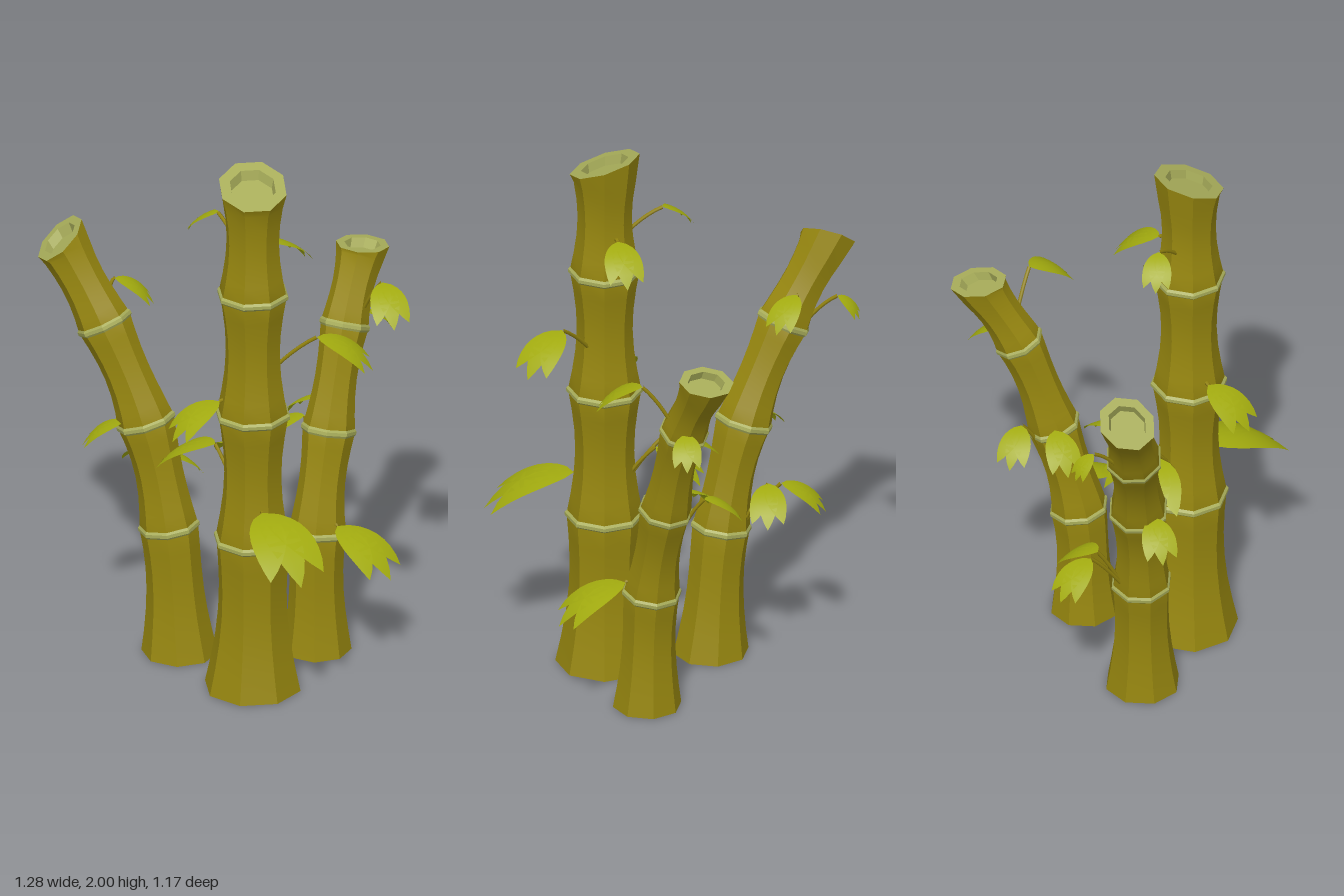
import * as THREE from 'three';

const SIDES = 8;
const V = (x, y, z) => new THREE.Vector3(x, y, z);
const UP = V(0, 1, 0);

function material(name, color, extra = {}) {
  const m = new THREE.MeshStandardMaterial({ color, ...extra });
  m.name = name;
  return m;
}

function mesh(name, geometry, mat) {
  const m = new THREE.Mesh(geometry, mat);
  m.name = name;
  return m;
}

// Octagonal section around p, perpendicular to the axis but sheared onto a plane with the given normal
function ring(p, axis, radius, phase, planeNormal = axis) {
  const e1 = V(1, 0, 0).addScaledVector(axis, -axis.x).normalize();
  const e2 = V(0, 0, 0).crossVectors(e1, axis);
  const slope = planeNormal.dot(axis);
  return Array.from({ length: SIDES }, (_, j) => {
    const a = phase + (j / SIDES) * Math.PI * 2;
    const o = e1.clone().multiplyScalar(Math.cos(a) * radius).addScaledVector(e2, Math.sin(a) * radius);
    return o.addScaledVector(axis, -o.dot(planeNormal) / slope).add(p);
  });
}

// Skin through rings: every side is its own strip, so the long edges stay sharp
function loft(rings, flat = false) {
  const pos = [], index = [];
  for (let j = 0; j < SIDES; j++) {
    const start = pos.length / 3;
    rings.forEach((r, i) => {
      pos.push(...r[j].toArray(), ...r[(j + 1) % SIDES].toArray());
      if (i === 0) return;
      const a = start + (i - 1) * 2;
      index.push(a, a + 3, a + 1, a, a + 2, a + 3);
    });
  }
  let g = new THREE.BufferGeometry();
  g.setAttribute('position', new THREE.Float32BufferAttribute(pos, 3));
  g.setIndex(index);
  if (flat) g = g.toNonIndexed();
  g.computeVertexNormals();
  return g;
}

// Stalk along a curve through base, three nodes and top; radii match these points
function stalk(name, curve, radii, sag, cutNormal, phase, mats) {
  const group = new THREE.Group();
  group.name = name;
  const segs = radii.length - 1, steps = 6;
  const axisAt = (t) => curve.getTangent(t);

  // flared body, pinched between the nodes
  const rows = [];
  for (let i = 0; i <= segs * steps; i++) {
    const t = i / (segs * steps);
    const k = Math.min(Math.floor(i / steps), segs - 1), s = i / steps - k;
    const r = THREE.MathUtils.lerp(radii[k], radii[k + 1], s) - sag * Math.sin(Math.PI * s);
    const plane = i === 0 ? UP : i === segs * steps ? cutNormal : undefined;
    rows.push(ring(curve.getPoint(t), axisAt(t), r, phase, plane));
  }
  group.add(mesh('stalkBody', loft(rows), mats.stalk));
  const foot = ring(curve.getPoint(0), axisAt(0), 0, phase);
  group.add(mesh('stalkFoot', loft([foot, rows[0]], true), mats.stalk));

  // pale raised bands at the nodes
  for (let k = 1; k < segs; k++) {
    const p = curve.getPoint(k / segs), axis = axisAt(k / segs);
    const band = [[-0.014, 0.985], [-0.006, 1.05], [0.006, 1.05], [0.014, 0.985]].map(([h, f]) =>
      ring(p.clone().addScaledVector(axis, h), axis, radii[k] * f, phase));
    group.add(mesh('nodeBand', loft(band, true), mats.pale));
  }

  // hollow cut end: rim, short inner wall and floor
  const top = curve.getPoint(1), axis = axisAt(1), r = radii[segs];
  const floor = top.clone().addScaledVector(axis, -0.035);
  group.add(mesh('cutEnd', loft([
    rows[rows.length - 1],
    ring(top, axis, r * 0.68, phase, cutNormal),
    ring(floor, axis, r * 0.63, phase, cutNormal),
    ring(floor, axis, 0, phase, cutNormal),
  ], true), mats.pale));
  return group;
}

// Arched leaf of three pointed lobes; heading in degrees turns from +x towards +z
function leaf(base, heading, reach, mat) {
  const group = new THREE.Group();
  group.name = 'leaf';
  const a = THREE.MathUtils.degToRad(heading);
  const dir = V(Math.cos(a) * reach, -0.06 - 0.3 * reach, Math.sin(a) * reach);
  const len = dir.length();
  const side = V(0, 0, 0).crossVectors(dir, UP).normalize();
  const lift = V(0, 0, 0).crossVectors(side, dir).normalize();
  for (const lobe of [-1, 0, 1]) {
    const g = new THREE.PlaneGeometry(1, 1, 2, 8), p = g.attributes.position;
    const angle = lobe * 0.32, lobeLength = lobe ? 0.93 : 1;
    for (let i = 0; i < p.count; i++) {
      const u = p.getY(i) + 0.5;
      const bulge = Math.max(0, Math.sin(Math.PI * Math.pow(u, 0.85)));
      const w = p.getX(i) * 0.36 * Math.pow(bulge, 0.8);
      const along = lobeLength * u * Math.cos(angle) - w * Math.sin(angle);
      const across = lobeLength * u * Math.sin(angle) + w * Math.cos(angle);
      const arch = 0.55 * along * (1 - along) - 0.35 * across * across;
      const q = base.clone().addScaledVector(dir, along)
        .addScaledVector(side, across * len).addScaledVector(lift, arch * len);
      p.setXYZ(i, q.x, q.y, q.z);
    }
    g.computeVertexNormals();
    group.add(mesh('leafLobe', g, mat));
  }
  return group;
}

// Thin bowed twig from the stalk's skin, a given rise below the leaf, up to the leaf
function twig(curve, base, rise, mat) {
  const root = curve.getPoints(80).find((p) => p.y >= base.y - rise);
  const outward = base.clone().sub(root).setY(0).setLength(0.08);
  root.add(outward);
  const mid = root.clone().lerp(base, 0.5).addScaledVector(UP, 0.02);
  const path = new THREE.QuadraticBezierCurve3(root, mid, base);
  return mesh('twig', new THREE.TubeGeometry(path, 5, 0.007, 5), mat);
}

export function createModel() {
  const model = new THREE.Group();
  model.name = 'bambooCluster';
  const mats = {
    stalk: material('stalkOlive', 0x96860f),
    pale: material('paleCutWood', 0xa8ad5a),
    leaf: material('leafGreen', 0xa2ab0f, { side: THREE.DoubleSide }),
  };

  const middle = new THREE.CatmullRomCurve3([0, 0.58, 1.07, 1.54, 1.96].map((y) => V(0.04, y, 0.18)));
  const right = new THREE.CatmullRomCurve3([
    V(-0.18, 0, -0.135), V(-0.215, 0.48, -0.16), V(-0.29, 0.87, -0.215), V(-0.425, 1.22, -0.31), V(-0.57, 1.51, -0.42),
  ]);
  const left = new THREE.CatmullRomCurve3([
    V(0.305, 0, -0.095), V(0.31, 0.45, -0.115), V(0.36, 0.81, -0.19), V(0.43, 1.17, -0.29), V(0.51, 1.425, -0.41),
  ]);
  model.add(
    stalk('middleStalk', middle, [0.175, 0.135, 0.13, 0.124, 0.124], 0.028, V(0, 1, 0.36).normalize(), Math.PI / 8, mats),
    stalk('rightStalk', right, [0.135, 0.105, 0.103, 0.098, 0.1], 0.018, V(-0.65, 0.76, 0).normalize(), 0.2, mats),
    stalk('leftStalk', left, [0.123, 0.102, 0.094, 0.086, 0.095], 0.016, V(0.1, 1, -0.1).normalize(), 0.2, mats),
  );

  const sprout = (curve, base, rise, heading, reach) =>
    model.add(twig(curve, base, rise, mats.stalk), leaf(base, heading, reach, mats.leaf));

  // leaves of the middle stalk
  sprout(middle, V(0.06, 0.73, 0.29), 0.03, 72, 0.32);
  sprout(middle, V(-0.08, 1.13, 0.19), 0.03, 159, 0.19);
  sprout(middle, V(0.26, 1.39, 0.25), 0.14, 15, 0.2);
  sprout(middle, V(0.11, 1.7, 0.1), 0.02, -35, 0.17);
  sprout(middle, V(-0.06, 1.78, 0), 0.1, 215, 0.12);
  sprout(middle, V(-0.07, 0.87, 0), 0.17, 214, 0.22);
  sprout(middle, V(0, 0.86, 0), 0.14, -84, 0.18);
  // leaves of the left stalk
  sprout(left, V(0.37, 0.5, -0.04), 0.02, 48, 0.25);
  sprout(left, V(0.28, 0.85, -0.23), 0.11, 191, 0.15);
  sprout(left, V(0.34, 0.87, -0.33), 0.13, 228, 0.14);
  sprout(left, V(0.55, 1.38, -0.18), 0.13, 83, 0.17);
  sprout(left, V(0.5, 1.2, -0.33), 0.03, -24, 0.12);
  // leaves of the right stalk
  sprout(right, V(-0.24, 0.68, -0.38), 0.18, 252, 0.16);
  sprout(right, V(-0.22, 0.68, -0.34), 0.18, -22, 0.16);
  sprout(right, V(-0.37, 0.88, -0.2), 0.04, 196, 0.15);
  sprout(right, V(-0.38, 1.36, -0.38), 0.04, 8, 0.14);
  sprout(right, V(-0.47, 1.34, -0.5), 0.12, 263, 0.08);
  return model;
}
